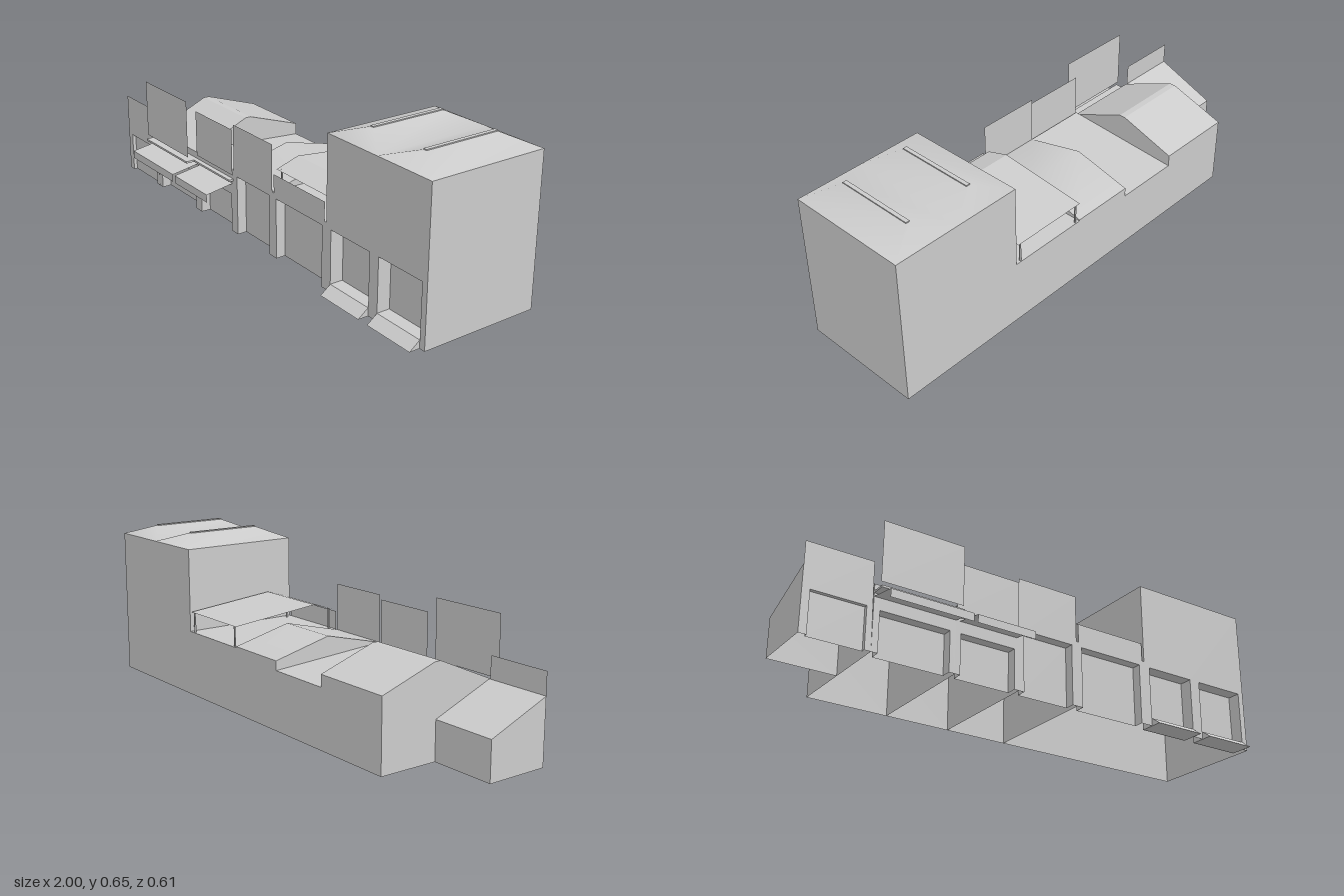
import * as THREE from 'three';
import { mergeVertices } from 'three/addons/utils/BufferGeometryUtils.js';

const FRONT = 0.185, BACK = -0.308;

export function createModel() {
  const root = new THREE.Group();
  const solid = new THREE.MeshStandardMaterial({ color: 0xcccccc });
  const thin = new THREE.MeshStandardMaterial({ color: 0xcccccc, side: THREE.DoubleSide });

  const add = (parent, name, geo, mat = thin) => {
    const mesh = new THREE.Mesh(geo, mat);
    mesh.name = name;
    parent.add(mesh);
    return mesh;
  };
  const box = (parent, name, x0, x1, y0, y1, z0, z1) =>
    add(parent, name, new THREE.BoxGeometry(x1 - x0, y1 - y0, z1 - z0), solid)
      .position.set((x0 + x1) / 2, (y0 + y1) / 2, (z0 + z1) / 2);

  // Triangle list to geometry, with shared normals if smooth
  const surface = (pos, smooth) => {
    let g = new THREE.BufferGeometry();
    g.setAttribute('position', new THREE.Float32BufferAttribute(pos, 3));
    if (smooth) g = mergeVertices(g);
    g.computeVertexNormals();
    return g;
  };
  // Sweeps a [z, y] line along x; faces outward when it runs from back to front
  const strip = (x0, x1, line, smooth = false) => {
    const pos = [];
    for (let i = 0; i < line.length - 1; i++) {
      const [pz, py] = line[i], [qz, qy] = line[i + 1];
      pos.push(x1, py, pz, x0, py, pz, x0, qy, qz);
      pos.push(x1, py, pz, x0, qy, qz, x1, qy, qz);
    }
    return surface(pos, smooth);
  };
  const outline = (pts) => new THREE.Shape(pts.map(([a, b]) => new THREE.Vector2(a, b)));
  const panel = (parent, name, x0, x1, y0, y1, z) => {
    const geo = new THREE.PlaneGeometry(x1 - x0, y1 - y0);
    geo.translate((x0 + x1) / 2, (y0 + y1) / 2, z);
    add(parent, name, geo);
  };

  // Bottomless building body; walls are [x, lower edge]
  const shell = (g, [x0, x1], roof, walls, smooth) => {
    const zb = roof[0][0];
    add(g, 'backWall', strip(x0, x1, [[zb, 0], roof[0]]));
    add(g, 'roof', strip(x0, x1, roof, smooth));
    for (const [x, base] of walls) {
      const side = new THREE.ShapeGeometry(outline([[zb, base], ...roof, [FRONT, base]]));
      side.rotateY(-Math.PI / 2).translate(x, 0, 0);
      add(g, 'sideWall', side);
    }
  };

  // Thin front wall, notched for recessed shop openings [x0, x1, height, depth]
  const facade = (g, [x0, x1], top, openings) => {
    const notches = openings.flatMap(([a, b, h]) => [[a, 0], [a, h], [b, h], [b, 0]]);
    const wall = new THREE.ShapeGeometry(outline([[x0, 0], ...notches, [x1, 0], ...top]));
    wall.translate(0, 0, FRONT);
    add(g, 'facade', wall);
    for (const [a, b, h, d] of openings) {
      panel(g, 'shopFront', a, b, 0, h, FRONT - d);
      add(g, 'lintel', strip(a, b, [[FRONT - d, h], [FRONT, h]]));
      for (const x of [a, b]) {
        const reveal = new THREE.PlaneGeometry(d, h);
        reveal.rotateY(Math.PI / 2).translate(x, h / 2, FRONT - d / 2);
        add(g, 'reveal', reveal);
      }
    }
  };
  const level = (x0, x1, h) => [[x1, h], [x0, h]];

  // The row of shops, from the model's right to its left
  const shops = [
    { name: 'smallShop', x: [-1, -0.735], roof: [[-0.067, 0.153], [FRONT, 0.253]],
      top: level(-1, -0.74, 0.34), openings: [[-0.97, -0.76, 0.165, 0.015]] },
    { name: 'ridgedShop', x: [-0.735, -0.405],
      roof: [[BACK, 0.28], [-0.075, 0.358], [-0.05, 0.358], [FRONT, 0.255]],
      top: level(-0.735, -0.405, 0.255), openings: [[-0.71, -0.43, 0.16, 0.04]] },
    { name: 'shedRoofShop', x: [-0.405, -0.135], roof: [[BACK, 0.233], [FRONT, 0.265]],
      top: level(-0.405, -0.135, 0.265), openings: [[-0.385, -0.155, 0.16, 0.04]] },
    { name: 'gableShop', x: [-0.135, 0.13], smooth: true,
      roof: [[BACK, 0.27], [-0.067, 0.328], [FRONT, 0.265]],
      top: level(-0.135, 0.13, 0.455), openings: [[-0.112, 0.108, 0.245, 0.04]] },
    { name: 'terraceShop', x: [0.13, 0.465], roof: [[BACK, 0.265], [FRONT, 0.265]],
      walls: [[0.13, 0]],
      top: [[0.465, 0.265], [0.455, 0.265], [0.455, 0.34], [0.14, 0.34], [0.14, 0.265], [0.13, 0.265]],
      openings: [[0.155, 0.44, 0.245, 0.04]] },
    { name: 'tallBuilding', x: [0.465, 1], roof: [[BACK, 0.6], [FRONT, 0.6]],
      walls: [[0.465, 0.265], [1, 0]], top: level(0.465, 1, 0.6),
      openings: [[0.492, 0.707, 0.245, 0.055], [0.755, 0.975, 0.245, 0.055]] },
  ];
  const groups = {};
  for (const s of shops) {
    const g = groups[s.name] = new THREE.Group();
    g.name = s.name;
    root.add(g);
    shell(g, s.x, s.roof, s.walls ?? s.x.map((x) => [x, 0]), s.smooth);
    facade(g, s.x, s.top, s.openings);
  }

  // Sign boards, ledges and sloping awnings with a hanging front edge
  for (const { shop, x, awning, ledgeZ, signZ, signTop } of [
    { shop: 'ridgedShop', x: [-0.735, -0.405], awning: [-0.735, -0.405],
      ledgeZ: 0.24, signZ: 0.232, signTop: 0.483 },
    { shop: 'shedRoofShop', x: [-0.405, -0.138], awning: [-0.39, -0.145],
      ledgeZ: 0.205, signZ: 0.19, signTop: 0.435 },
  ]) {
    const g = groups[shop];
    panel(g, 'signBoard', ...x, 0.245, signTop, signZ);
    box(g, 'ledge', ...x, 0.22, 0.228, FRONT, ledgeZ);
    add(g, 'awning', strip(...awning, [[FRONT, 0.207], [0.305, 0.187], [0.305, 0.155]]));
  }

  // Terrace canopy on four posts
  const terrace = groups.terraceShop;
  add(terrace, 'canopy', strip(0.13, 0.455, [[BACK, 0.347], [0.067, 0.384], [0.165, 0.352]]));
  for (const x of [0.145, 0.437])
    for (const [z, top] of [[BACK + 0.004, 0.347], [0.15, 0.356]])
      box(terrace, 'canopyPost', x, x + 0.006, 0.264, top, z, z + 0.006);

  // Twin hipped roofs with a soft valley and narrow ridge caps
  const tall = groups.tallBuilding;
  const hips = [];
  for (const [x0, x1] of [[0.465, 0.73], [0.73, 1]]) {
    const m = (x0 + x1) / 2, r = 0.008, zr0 = -0.218, zr1 = 0.098;
    const base = [[x0, 0.6, FRONT], [x1, 0.6, FRONT], [x1, 0.6, BACK], [x0, 0.6, BACK]];
    const ridge = [[m - r, 0.642, zr1], [m + r, 0.642, zr1], [m + r, 0.642, zr0], [m - r, 0.642, zr0]];
    for (let i = 0; i < 4; i++) {
      const j = (i + 1) % 4;
      hips.push(...base[i], ...base[j], ...ridge[j], ...base[i], ...ridge[j], ...ridge[i]);
    }
    box(tall, 'ridgeCap', m - r, m + r, 0.64, 0.646, zr0, zr1);
  }
  add(tall, 'hippedRoof', surface(hips, true), solid);

  // Entrance sills with a ramp
  for (const [x0, x1] of [[0.492, 0.707], [0.755, 0.975]]) {
    const ramp = new THREE.ExtrudeGeometry(
      outline([[-0.228, 0], [-0.131, 0], [-0.131, 0.032], [-FRONT, 0.032]]),
      { depth: x1 - x0, bevelEnabled: false });
    ramp.rotateY(Math.PI / 2).translate(x0, 0, 0);
    add(tall, 'entranceRamp', ramp, solid);
  }
  return root;
}
